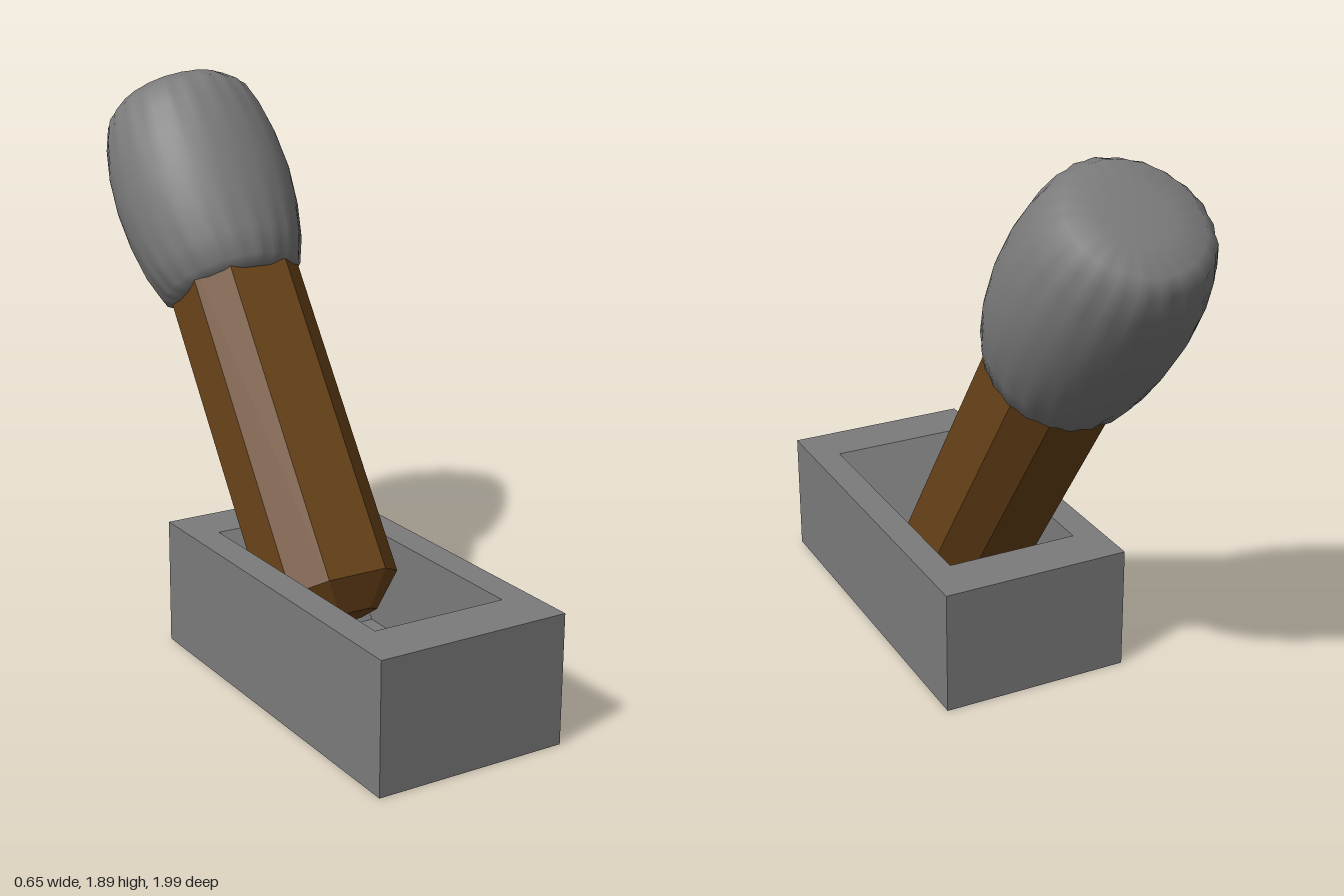
import * as THREE from 'three';
import { mergeVertices } from 'three/addons/utils/BufferGeometryUtils.js';

const grey = new THREE.MeshStandardMaterial({ color: 0x7b7b7b });
const wood = new THREE.MeshStandardMaterial({ color: 0x6b4419, flatShading: true });

function addMesh(parent, name, geometry, material) {
  const mesh = new THREE.Mesh(geometry, material);
  mesh.name = name;
  parent.add(mesh);
  return mesh;
}

// Block with a trough, lofted through four rectangles: [half width, back z, front z, y]
function troughGeometry() {
  const rings = [
    [0.325, -0.3, 1.0, 0],
    [0.325, -0.3, 1.0, 0.425],
    [0.228, -0.125, 0.82, 0.425],
    [0.228, 0.11, 0.615, 0.1],
  ];
  const positions = [];
  const index = [0, 2, 1, 0, 3, 2];
  rings.forEach(([w, back, front, y], r) => {
    positions.push(-w, y, front, w, y, front, w, y, back, -w, y, back);
    if (r === 0) return;
    for (let i = 0; i < 4; i++) {
      const j = (i + 1) % 4;
      const low = (r - 1) * 4;
      const up = r * 4;
      index.push(low + i, low + j, up + j, low + i, up + j, up + i);
    }
  });
  index.push(12, 13, 14, 12, 14, 15);
  const indexed = new THREE.BufferGeometry();
  indexed.setAttribute('position', new THREE.Float32BufferAttribute(positions, 3));
  indexed.setIndex(index);
  const geometry = indexed.toNonIndexed();
  geometry.computeVertexNormals();
  return geometry;
}

// Eight-sided stick along +y with a tapered foot: each level has a height and a scale
function stickGeometry() {
  const levels = [[-0.261, 0.55], [-0.161, 1], [1.1, 1]];
  const shape = new THREE.Shape([
    [0.2, -0.1], [0.2, 0.1], [0.105, 0.19], [-0.105, 0.19],
    [-0.2, 0.1], [-0.2, -0.1], [-0.105, -0.19], [0.105, -0.19],
  ].map(([x, y]) => new THREE.Vector2(x, y)));
  const geometry = new THREE.ExtrudeGeometry(shape, { depth: 2, steps: 2, bevelEnabled: false });
  const pos = geometry.attributes.position;
  for (let i = 0; i < pos.count; i++) {
    const [height, scale] = levels[Math.round(pos.getZ(i))];
    pos.setXYZ(i, pos.getX(i) * scale, pos.getY(i) * scale, height);
  }
  geometry.rotateX(-Math.PI / 2);
  geometry.computeVertexNormals();
  return geometry;
}

// Barrel-shaped knob with gathers that fade out towards its middle and its cap
function knobGeometry() {
  const profile = [
    [0, 0.93], [0.12, 0.92], [0.195, 0.912], [0.237, 0.94], [0.262, 1.03], [0.278, 1.15],
    [0.285, 1.28], [0.281, 1.41], [0.267, 1.52], [0.246, 1.6], [0.205, 1.642], [0.11, 1.654], [0, 1.657],
  ].map(([r, y]) => new THREE.Vector2(r, y));
  const lathe = new THREE.LatheGeometry(profile, 88);
  lathe.deleteAttribute('uv');
  lathe.deleteAttribute('normal');
  const pos = lathe.attributes.position;
  for (let i = 0; i < pos.count; i++) {
    const x = pos.getX(i), y = pos.getY(i), z = pos.getZ(i);
    const angle = Math.atan2(x, z);
    const ends = Math.min(1, Math.abs(y - 1.28) / 0.36) ** 2;
    const rim = Math.min(1, Math.hypot(x, z) / 0.24) ** 5;
    const ripple = 0.7 * Math.cos(22 * angle) + 0.3 * Math.sin(9 * angle + 1);
    const k = 1 + 0.022 * ends * rim * ripple;
    pos.setXYZ(i, x * k * (1.09 - 0.09 * ends), y, z * k);
  }
  const geometry = mergeVertices(lathe, 1e-5);
  geometry.computeVertexNormals();
  return geometry;
}

export function createModel() {
  const model = new THREE.Group();
  model.name = 'lever';

  addMesh(model, 'base', troughGeometry(), grey);

  // Handle leaning backwards out of the trough
  const handle = new THREE.Group();
  handle.name = 'handle';
  handle.position.set(-0.004, 0.425, 0.13);
  handle.rotation.x = -THREE.MathUtils.degToRad(35);
  model.add(handle);

  addMesh(handle, 'stick', stickGeometry(), wood);
  addMesh(handle, 'knob', knobGeometry(), grey).position.x = -0.008;

  return model;
}
